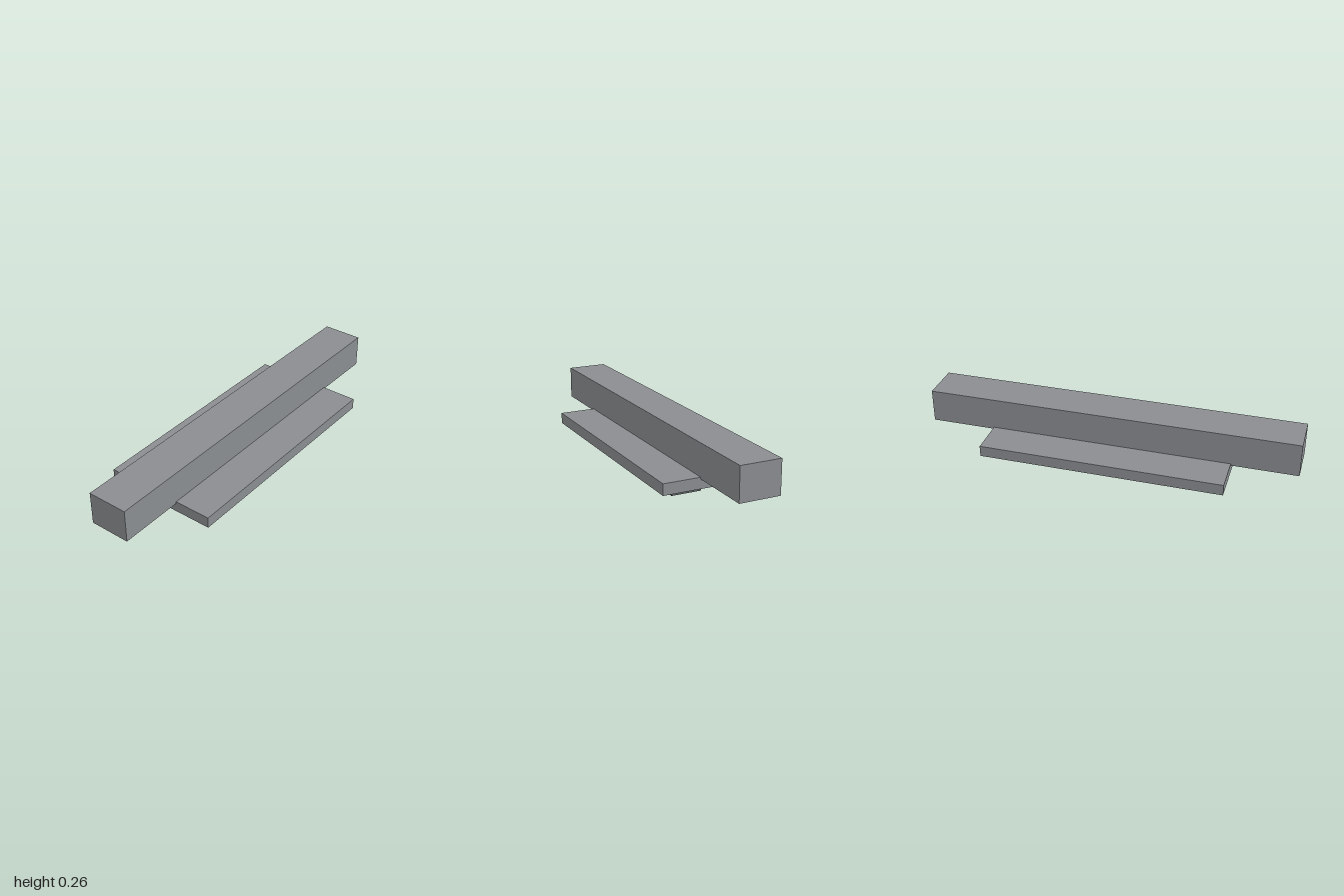
import * as THREE from 'three';

export function createModel() {
  const model = new THREE.Group();
  model.name = 'beamOnSkidPlate';

  const steel = new THREE.MeshStandardMaterial({ color: 0x8a8d91 });
  steel.name = 'steel grey';
  const rubber = new THREE.MeshStandardMaterial({ color: 0x5c5f63 });
  rubber.name = 'dark grey';

  // Box given by its centre x, bottom and top heights, width and length
  function addBox(name, material, x, bottom, top, width, length) {
    const mesh = new THREE.Mesh(new THREE.BoxGeometry(width, top - bottom, length), material);
    mesh.name = name;
    mesh.position.set(x, (bottom + top) / 2, 0);
    model.add(mesh);
  }

  // Long beam, sunk slightly into the plate
  addBox('beam', steel, 0, 0.08, 0.26, 0.22, 2);

  // Wide base plate
  addBox('basePlate', steel, 0, 0.03, 0.09, 0.62, 1.3);

  // Pair of pads under the plate
  addBox('leftPad', rubber, 0.16, 0, 0.03, 0.16, 1.2);
  addBox('rightPad', rubber, -0.16, 0, 0.03, 0.16, 1.2);

  return model;
}
